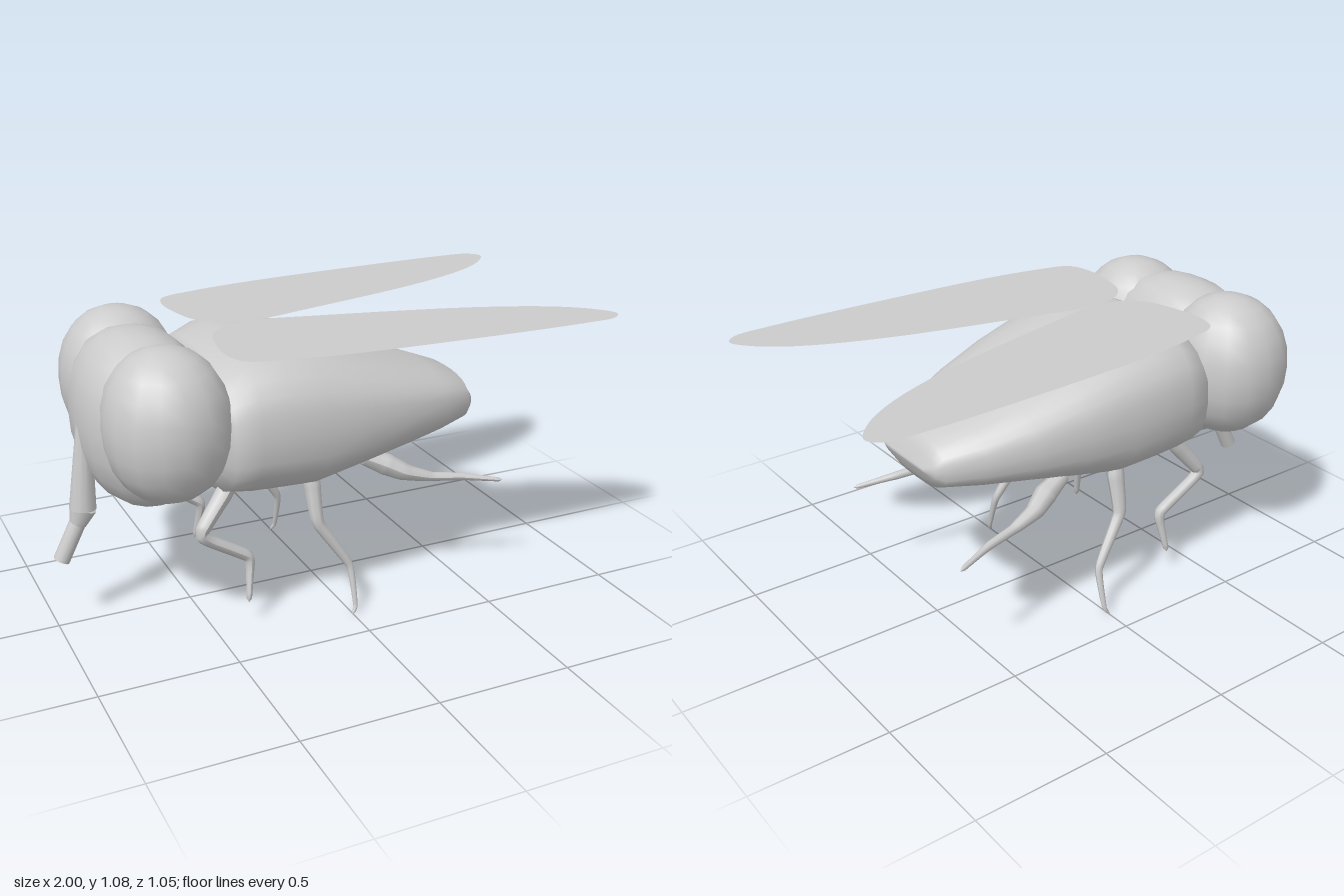
import * as THREE from 'three';
import { mergeVertices } from 'three/addons/utils/BufferGeometryUtils.js';

const material = new THREE.MeshStandardMaterial({ color: 0xcccccc });
const wingMaterial = new THREE.MeshStandardMaterial({ color: 0xcccccc, side: THREE.DoubleSide });
const MIRROR_Z = -0.014; // the paired parts mirror about this plane

function part(name, geometry, mat = material) {
  const mesh = new THREE.Mesh(geometry, mat);
  mesh.name = name;
  return mesh;
}

// Rounded, slightly boxy ellipsoid
function blob(center, radii, power, columns = 16, rows = 12) {
  let g = new THREE.SphereGeometry(1, columns, rows);
  g.deleteAttribute('uv');
  g.deleteAttribute('normal');
  g = mergeVertices(g, 1e-4);
  const p = g.attributes.position;
  const v = new THREE.Vector3();
  for (let i = 0; i < p.count; i++) {
    v.fromBufferAttribute(p, i);
    const sum = v.toArray().reduce((s, c) => s + Math.abs(c) ** power, 0);
    v.multiplyScalar(sum ** (-1 / power));
    p.setXYZ(i, center[0] + v.x * radii[0], center[1] + v.y * radii[1], center[2] + v.z * radii[2]);
  }
  g.computeVertexNormals();
  return g;
}

// Skin through superellipse sections [x, bottom, top, halfWidth]
function bodyGeometry(sections, power, sides = 28) {
  const positions = [], index = [];
  const bend = (c) => Math.sign(c) * Math.abs(c) ** (2 / power);
  for (const [x, bottom, top, half] of sections) {
    for (let j = 0; j < sides; j++) {
      const a = (j / sides) * Math.PI * 2;
      positions.push(x, (top + bottom) / 2 + ((top - bottom) / 2) * bend(Math.cos(a)), half * bend(Math.sin(a)));
    }
  }
  for (let i = 0; i < sections.length - 1; i++) {
    for (let j = 0; j < sides; j++) {
      const a = i * sides + j, b = i * sides + ((j + 1) % sides);
      index.push(a, b, a + sides, b, b + sides, a + sides);
    }
  }
  const g = new THREE.BufferGeometry();
  g.setAttribute('position', new THREE.Float32BufferAttribute(positions, 3));
  g.setIndex(index);
  g.computeVertexNormals();
  return g;
}

// Tube whose radius varies along nodes [x, y, z, radius]
function limbGeometry(nodes, segments = 40, sides = 8) {
  const curve = new THREE.CatmullRomCurve3(nodes.map((n) => new THREE.Vector3(n[0], n[1], n[2])), false, 'catmullrom', 0.2);
  const g = new THREE.TubeGeometry(curve, segments, 1, sides);
  const p = g.attributes.position;
  const v = new THREE.Vector3();
  for (let i = 0; i <= segments; i++) {
    const t = curve.getUtoTmapping(i / segments) * (nodes.length - 1);
    const k = Math.min(Math.floor(t), nodes.length - 2);
    const r = i === 0 || i === segments ? 0 : THREE.MathUtils.lerp(nodes[k][3], nodes[k + 1][3], t - k);
    const center = curve.getPointAt(i / segments);
    for (let j = 0; j <= sides; j++) {
      const n = i * (sides + 1) + j;
      v.fromBufferAttribute(p, n).sub(center).multiplyScalar(r).add(center);
      p.setXYZ(n, v.x, v.y, v.z);
    }
  }
  g.computeVertexNormals();
  return g;
}

// Tapered cylinder between two points
function rod(name, from, to, rFrom, rTo) {
  const a = new THREE.Vector3(...from), b = new THREE.Vector3(...to);
  const dir = b.clone().sub(a);
  const mesh = part(name, new THREE.CylinderGeometry(rTo, rFrom, dir.length(), 12));
  mesh.position.copy(a).add(b).multiplyScalar(0.5);
  mesh.quaternion.setFromUnitVectors(new THREE.Vector3(0, 1, 0), dir.normalize());
  return mesh;
}

// Flat leaf-shaped wing on one side (+1 or -1)
function wingGeometry(side) {
  const outline = [
    [-0.45, 0.34], [-0.445, 0.22], [-0.4, 0.075], [-0.32, 0.015], [-0.21, 0], [0, 0.043],
    [0.56, 0.187], [0.83, 0.3], [0.95, 0.39], [0.998, 0.465], [0.96, 0.51], [0.83, 0.522],
    [0.3, 0.508], [-0.08, 0.483], [-0.29, 0.45], [-0.42, 0.41],
  ];
  const curve = new THREE.CatmullRomCurve3(outline.map(([x, z]) => new THREE.Vector3(x, -side * z, 0)), true);
  const shape = new THREE.Shape(curve.getPoints(80).slice(0, -1).map((p) => new THREE.Vector2(p.x, p.y)));
  return new THREE.ShapeGeometry(shape).rotateX(-Math.PI / 2).translate(0, 1.05, -0.003);
}

export function createModel() {
  const model = new THREE.Group();
  model.name = 'fly';

  // Thorax and abdomen in one tapering form
  model.add(part('body', bodyGeometry([
    [-0.5, 0.74, 0.76, 0.02],
    [-0.49, 0.58, 0.93, 0.32],
    [-0.45, 0.5, 0.99, 0.395],
    [-0.36, 0.485, 1.032, 0.41],
    [-0.24, 0.48, 1.026, 0.413],
    [-0.11, 0.475, 1.013, 0.408],
    [0.08, 0.515, 0.95, 0.38],
    [0.275, 0.552, 0.88, 0.33],
    [0.43, 0.572, 0.823, 0.268],
    [0.56, 0.59, 0.775, 0.2],
    [0.585, 0.63, 0.73, 0.175],
    [0.605, 0.67, 0.69, 0.13],
    [0.607, 0.68, 0.68, 0],
  ], 2.6)));

  model.add(part('head', blob([-0.655, 0.766, 0], [0.23, 0.302, 0.36], 2.35)));

  // Mouthpart
  const mouth = new THREE.Group();
  mouth.name = 'proboscis';
  mouth.add(
    rod('proboscisUpper', [-0.855, 0.8, 0], [-0.882, 0.45, 0], 0.025, 0.049),
    rod('proboscisTaper', [-0.882, 0.45, 0], [-0.905, 0.39, 0], 0.049, 0.03),
    rod('proboscisTip', [-0.9, 0.405, 0], [-0.972, 0.262, 0], 0.03, 0.03),
  );
  model.add(mouth);

  // Legs as [x, y, z, radius]
  const legs = {
    frontLeg: [[-0.4, 0.57, 0.22, 0.03], [-0.44, 0.51, 0.225, 0.034], [-0.535, 0.39, 0.25, 0.025],
      [-0.5, 0.35, 0.248, 0.022], [-0.36, 0.26, 0.238, 0.022], [-0.352, 0.22, 0.243, 0.018], [-0.37, 0.09, 0.272, 0.009]],
    middleLeg: [[-0.12, 0.56, 0.24, 0.03], [-0.113, 0.5, 0.255, 0.033], [-0.105, 0.36, 0.29, 0.024],
      [0.008, 0.18, 0.318, 0.015], [0.013, 0.03, 0.362, 0.008], [-0.005, 0.003, 0.372, 0.006]],
    hindLeg: [[0.09, 0.56, 0.215, 0.025], [0.19, 0.515, 0.235, 0.042], [0.26, 0.48, 0.262, 0.032],
      [0.36, 0.45, 0.277, 0.018], [0.48, 0.437, 0.3, 0.015], [0.63, 0.415, 0.348, 0.007]],
  };

  for (const side of [1, -1]) {
    const label = side > 0 ? 'Left' : 'Right';
    const place = (z) => (side > 0 ? z : 2 * MIRROR_Z - z);
    model.add(part('eye' + label, blob([-0.643, 0.815, place(0.25)], [0.216, 0.266, 0.228], 2.2)));
    model.add(part('wing' + label, wingGeometry(side), wingMaterial));
    for (const [name, nodes] of Object.entries(legs)) {
      model.add(part(name + label, limbGeometry(nodes.map(([x, y, z, r]) => [x, y, place(z), r]))));
    }
  }
  return model;
}
